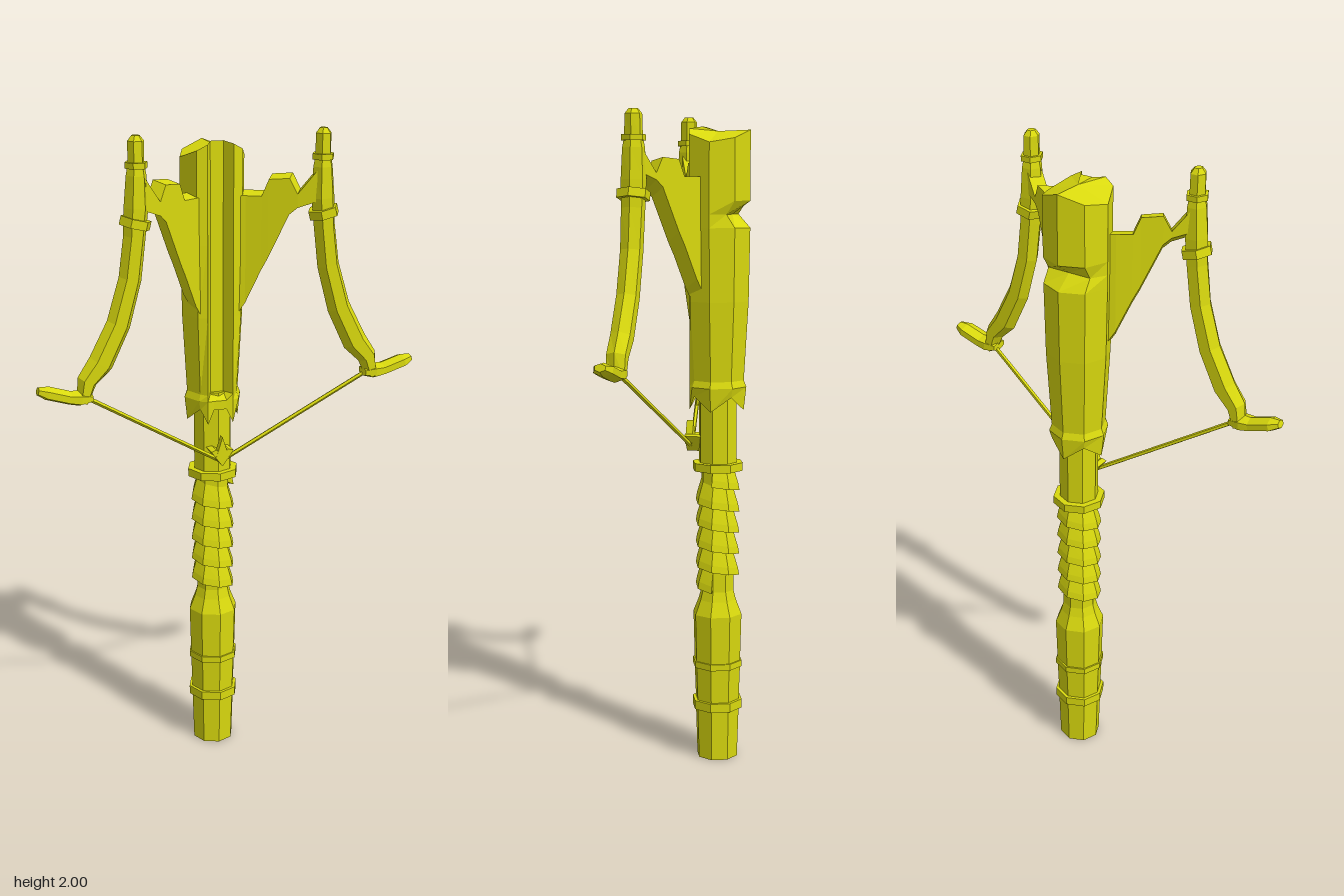
import * as THREE from 'three';

const AXIS_Z = -0.063;
const yellow = new THREE.MeshStandardMaterial({ color: 0xd9d90e });
yellow.name = 'yellow';
yellow.flatShading = true;

// Skin a list of equal-length closed rings, cap the ends, and face it outward
function loft(rings, caps = true) {
  const tris = [];
  const n = rings[0].length;
  for (let i = 0; i + 1 < rings.length; i++) {
    for (let j = 0; j < n; j++) {
      const k = (j + 1) % n;
      const a = rings[i][j], b = rings[i][k], c = rings[i + 1][k], d = rings[i + 1][j];
      tris.push([a, b, c], [a, c, d]);
    }
  }
  const cap = (ring, flip, center) => {
    for (let j = 0; j < n; j++) {
      const a = ring[j], b = ring[(j + 1) % n];
      tris.push(flip ? [center, b, a] : [center, a, b]);
    }
  };
  const mid = (ring) => ring.reduce((s, p) => s.add(p), new THREE.Vector3()).divideScalar(n);
  if (caps) {
    cap(rings[0], true, rings[0].center || mid(rings[0]));
    const last = rings[rings.length - 1];
    cap(last, false, last.center || mid(last));
  }
  let volume = 0;
  const cross = new THREE.Vector3();
  for (const [a, b, c] of tris) volume += a.dot(cross.crossVectors(b, c));
  const points = tris.flatMap(([a, b, c]) => (volume < 0 ? [a, c, b] : [a, b, c]));
  const g = new THREE.BufferGeometry().setFromPoints(points);
  g.computeVertexNormals();
  return g;
}

function add(parent, name, geometry) {
  const mesh = new THREE.Mesh(geometry, yellow);
  mesh.name = name;
  parent.add(mesh);
  return mesh;
}

// Sweep a hexagon along a path in the x-y plane: [x, y, half width, half depth]
function sweep(path, z, side) {
  return loft(path.map(([x, y, w, d], i) => {
    const p = path[Math.max(i - 1, 0)], q = path[Math.min(i + 1, path.length - 1)];
    const t = new THREE.Vector2(q[0] - p[0], q[1] - p[1]).normalize();
    return Array.from({ length: 6 }, (_, j) => {
      const a = (j * Math.PI) / 3;
      const u = Math.cos(a) * w;
      return new THREE.Vector3(side * (x + t.y * u), y - t.x * u, z + Math.sin(a) * d);
    });
  }));
}

// Cross-section of the stock: an octagon whose front corner is cut by a groove
function stockRing(y, r, { groove = -0.02, back = -1, zigzag = 0 } = {}) {
  const half = [[0.02, groove], [0.04 * Math.min(1, r / 0.08), 0.016]];
  for (let k = 1; k <= 3; k++) {
    const a = (k * Math.PI) / 4;
    half.push([Math.sin(a) * r, AXIS_Z + Math.cos(a) * r]);
  }
  const section = [...half, [0, AXIS_Z - r], ...half.map(([x, z]) => [-x, z]).reverse()];
  return section.map(([x, z], i) => {
    const lift = (i % 2 ? -1 : 1) * zigzag;
    return new THREE.Vector3(x, y + lift, Math.max(z, back));
  });
}

function stockGeometry() {
  const top = stockRing(1.945, 0.1);
  // The crown dips at both sides
  top.forEach((p) => {
    p.y = 1.96 - 0.05 * Math.min(1, Math.abs(p.x) / 0.1) ** 2 - (p.z < -0.12 ? 0.012 : 0);
  });
  top.center = new THREE.Vector3(0, 1.945, AXIS_Z);
  return loft([
    stockRing(1.17, 0.055, { groove: -0.012 }),
    stockRing(1.13, 0.082, { groove: 0.014, zigzag: 0.022 }),
    stockRing(1.18, 0.09, { groove: 0.014 }),
    stockRing(1.2, 0.082),
    stockRing(1.44, 0.096),
    stockRing(1.66, 0.1),
    stockRing(1.7, 0.1, { back: -0.108 }),
    stockRing(1.74, 0.1),
    top,
  ]);
}

// Spiral strip that flares at its lower edge
function wrapGeometry() {
  const rings = [];
  const turns = 5, pitch = 0.067;
  for (let i = 0; i <= turns * 8; i++) {
    const a = (i * Math.PI) / 4;
    const y = 0.54 + (pitch * i) / 8;
    rings.push([[0.045, y + 0.012], [0.07, y], [0.066, y + 0.022], [0.052, y + pitch], [0.042, y + pitch]]
      .map(([r, h]) => new THREE.Vector3(Math.cos(a) * r, h, AXIS_Z + Math.sin(a) * r)));
  }
  return loft(rings);
}

// Wedge-shaped plate joining stock and limb: [x, z, bottom y, top y]
function bracketGeometry(side) {
  const sections = [
    [0.06, -0.02, 1.43, 1.81], [0.09, -0.005, 1.48, 1.81], [0.13, 0.02, 1.58, 1.81],
    [0.148, 0.032, 1.62, 1.86], [0.2, 0.065, 1.75, 1.865], [0.22, 0.078, 1.77, 1.82],
    [0.27, 0.105, 1.79, 1.89],
  ];
  const nx = 0.013, nz = 0.021;
  return loft(sections.map(([x, z, lo, hi]) => [
    new THREE.Vector3(side * (x - nx), lo, z + nz),
    new THREE.Vector3(side * (x + nx), lo + 0.03, z - nz),
    new THREE.Vector3(side * (x + nx), hi, z - nz),
    new THREE.Vector3(side * (x - nx), hi - 0.01, z + nz),
  ]));
}

function buildLimb(side) {
  const limb = new THREE.Group();
  limb.name = side > 0 ? 'leftLimb' : 'rightLimb';
  const z = 0.11;

  add(limb, 'limbArm', sweep([
    [0.28, 2.0, 0.012, 0.014], [0.28, 1.985, 0.024, 0.026], [0.28, 1.92, 0.024, 0.028],
    [0.28, 1.89, 0.03, 0.034], [0.282, 1.8, 0.036, 0.038], [0.288, 1.72, 0.033, 0.036],
    [0.303, 1.6, 0.034, 0.034], [0.34, 1.47, 0.036, 0.034], [0.395, 1.36, 0.038, 0.034],
    [0.437, 1.31, 0.03, 0.033], [0.452, 1.25, 0.018, 0.032],
  ], z, side));
  add(limb, 'limbHook', sweep([
    [0.425, 1.262, 0.014, 0.03], [0.46, 1.262, 0.024, 0.037], [0.49, 1.265, 0.02, 0.034],
    [0.555, 1.285, 0.02, 0.033], [0.582, 1.293, 0.012, 0.018],
  ], z, side));

  // Bands around the limb
  add(limb, 'upperBand', sweep([[0.28, 1.927, 0.033, 0.037], [0.28, 1.91, 0.033, 0.037]], z, side));
  add(limb, 'lowerBand', sweep([[0.282, 1.77, 0.046, 0.05], [0.288, 1.745, 0.046, 0.05]], z, side));
  add(limb, 'bracket', bracketGeometry(side));

  // Taut half of the bowstring
  const string = new THREE.LineCurve3(
    new THREE.Vector3(side * 0.44, 1.26, 0.105), new THREE.Vector3(side * 0.01, 0.995, 0.022));
  add(limb, 'bowstring', new THREE.TubeGeometry(string, 1, 0.007, 5, false));
  return limb;
}

export function createModel() {
  const model = new THREE.Group();
  model.name = 'crossbow';

  // Handle with its two narrow bands, the grip core and upper collar
  const profile = [
    [0, 0], [0.065, 0], [0.07, 0.16], [0.08, 0.16], [0.08, 0.188], [0.07, 0.188], [0.074, 0.295],
    [0.079, 0.295], [0.079, 0.315], [0.074, 0.315], [0.078, 0.465], [0.06, 0.51], [0.052, 0.54],
    [0.052, 0.92], [0.08, 0.92], [0.08, 0.945], [0.06, 0.945], [0.06, 1.2], [0, 1.2],
  ].map(([r, y]) => new THREE.Vector2(r, y));
  const handle = add(model, 'handle', new THREE.LatheGeometry(profile, 8).toNonIndexed());
  handle.geometry.computeVertexNormals();
  handle.position.z = AXIS_Z;

  add(model, 'gripWrap', wrapGeometry());
  add(model, 'stock', stockGeometry());

  // String catch: a pointed ledge with an upright tooth
  const ledge = new THREE.Shape([[0, 0.975], [0.036, 1.025], [0.02, 1.03], [0, 1.02], [-0.02, 1.03], [-0.036, 1.025]]
    .map(([x, y]) => new THREE.Vector2(x, y)));
  add(model, 'catchLedge', new THREE.ExtrudeGeometry(ledge, { depth: 0.06, bevelEnabled: false }))
    .position.z = -0.025;
  const tooth = new THREE.Shape([[-0.022, 1.0], [0.022, 1.0], [0, 1.07]].map(([x, y]) => new THREE.Vector2(x, y)));
  add(model, 'catchTooth', new THREE.ExtrudeGeometry(tooth, { depth: 0.022, bevelEnabled: false }))
    .position.z = 0.014;

  for (const side of [1, -1]) model.add(buildLimb(side));
  return model;
}
